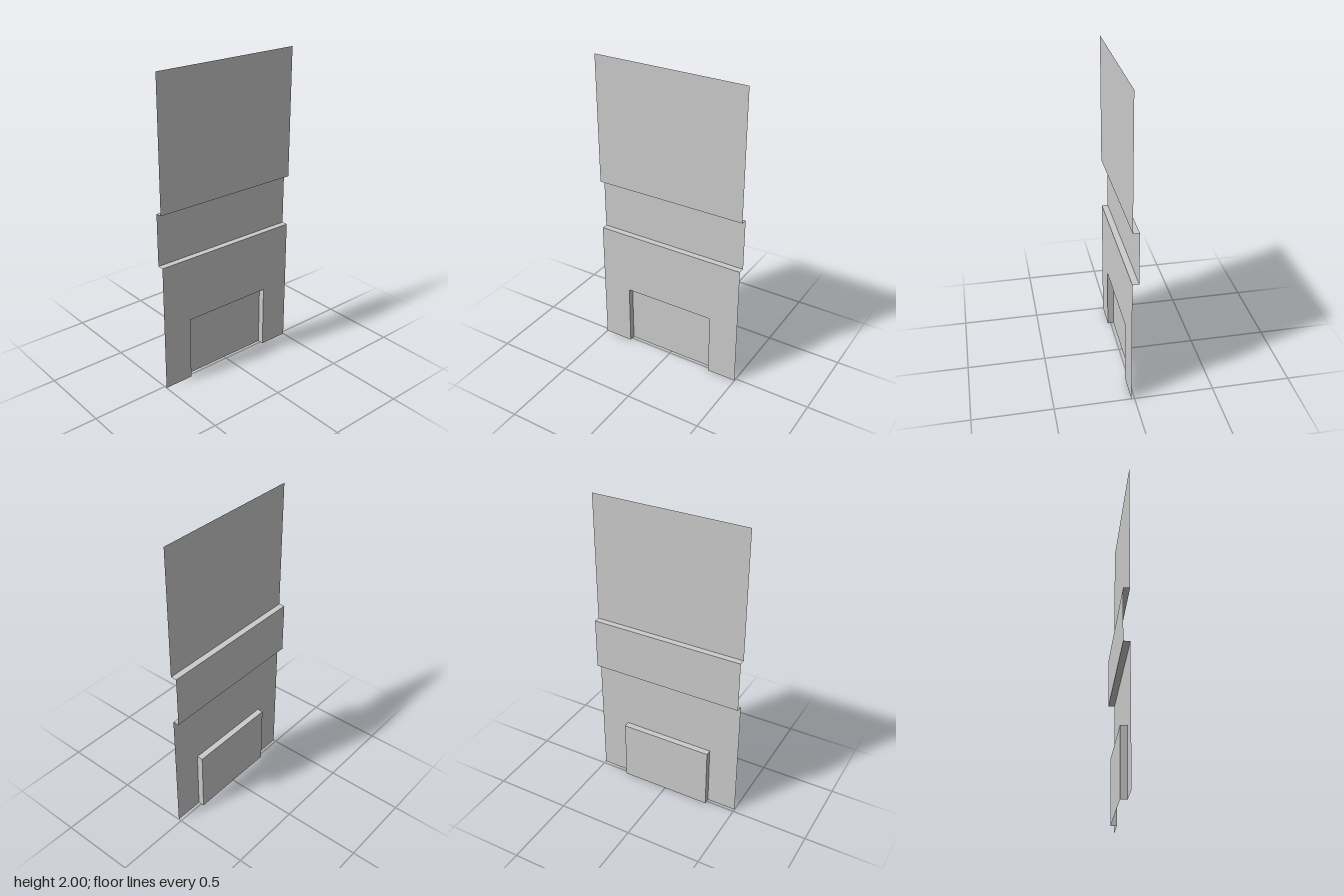
import * as THREE from 'three';

const OUT = 0.02, IN = -0.02;            // the two depths of the folded sheet
const H = 2, HALF = 0.5;                 // sheet height and half width
const BAND_LOW = 0.835, BAND_HIGH = 1.17;
const DOOR_HALF = 0.305, DOOR_TOP = 0.417;

export function createModel() {
  const group = new THREE.Group();
  const material = new THREE.MeshStandardMaterial({ color: 0xcccccc, flatShading: true, side: THREE.DoubleSide });

  const add = (name, geometry) => {
    const mesh = new THREE.Mesh(geometry, material);
    mesh.name = name;
    group.add(mesh);
  };

  // Upright panel at depth x, outlined by [z, y] points
  const panel = (name, x, points) => {
    const shape = new THREE.Shape(points.map(([z, y]) => new THREE.Vector2(-z, y)));
    add(name, new THREE.ShapeGeometry(shape).rotateY(Math.PI / 2).translate(x, 0, 0));
  };
  const rect = (half, y0, y1) => [[half, y0], [-half, y0], [-half, y1], [half, y1]];

  // Level strip joining the two depths
  const ledge = (name, y, half) =>
    add(name, new THREE.PlaneGeometry(OUT - IN, 2 * half).rotateX(-Math.PI / 2).translate(0, y, 0));

  // Wall panels, the lower one notched around the door
  panel('upperPanel', OUT, rect(HALF, BAND_HIGH, H));
  panel('lowerPanel', OUT, [
    [HALF, 0], [DOOR_HALF, 0], [DOOR_HALF, DOOR_TOP], [-DOOR_HALF, DOOR_TOP],
    [-DOOR_HALF, 0], [-HALF, 0], [-HALF, BAND_LOW], [HALF, BAND_LOW],
  ]);

  // Recessed band with its two ledges
  panel('recessedBand', IN, rect(HALF, BAND_LOW, BAND_HIGH));
  ledge('bandSill', BAND_LOW, HALF);
  ledge('bandHead', BAND_HIGH, HALF);

  // Recessed door with head and side jambs, open at the floor
  panel('recessedDoor', IN, rect(DOOR_HALF, 0, DOOR_TOP));
  ledge('doorHead', DOOR_TOP, DOOR_HALF);
  for (const side of [-1, 1]) {
    add(side < 0 ? 'backDoorJamb' : 'frontDoorJamb',
      new THREE.PlaneGeometry(OUT - IN, DOOR_TOP).translate(0, DOOR_TOP / 2, side * DOOR_HALF));
  }

  return group;
}
